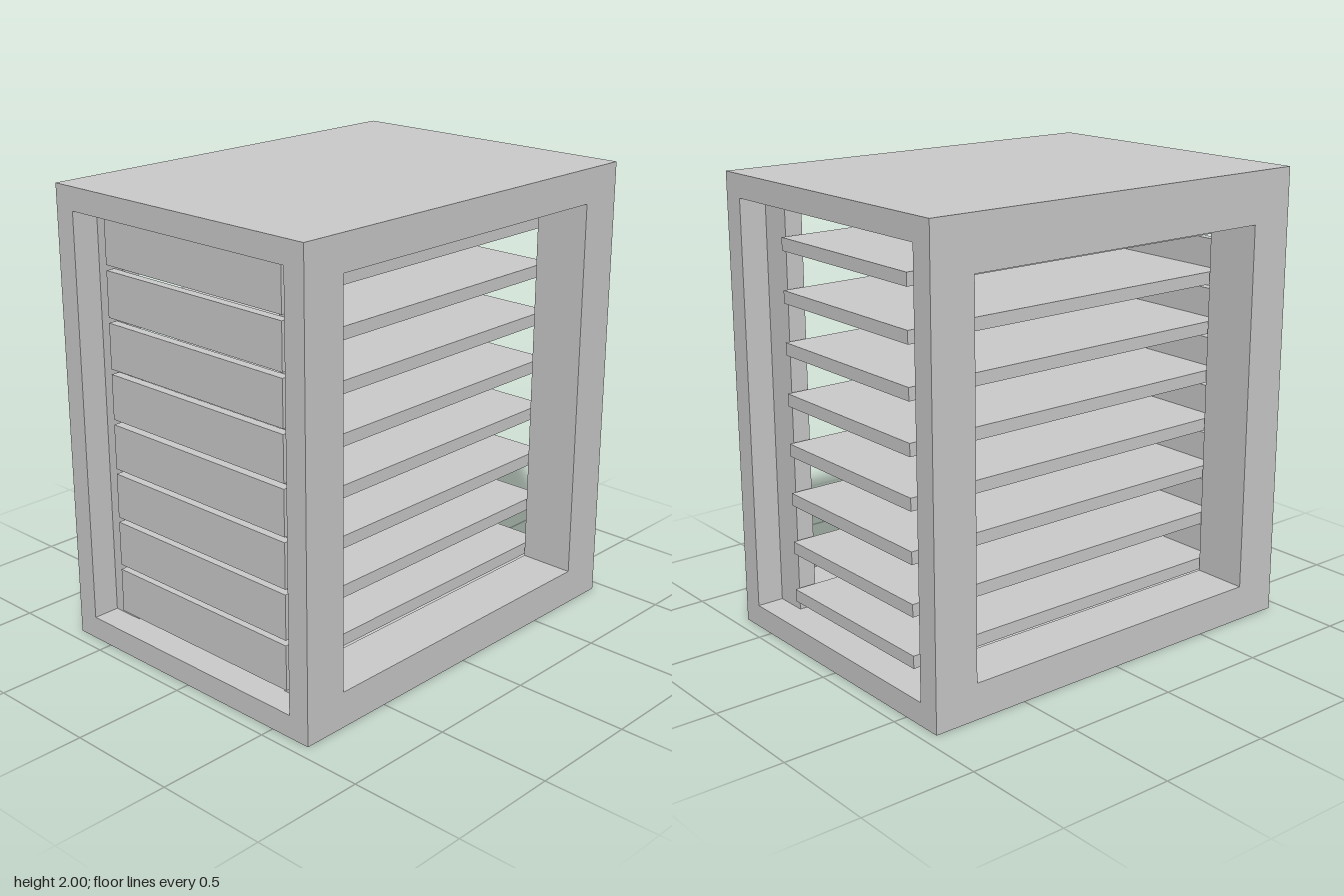
import * as THREE from 'three';

const W = 1.39, H = 2, D = 1.88;   // cabinet size
const SLAB = 0.1;                  // top and bottom thickness
const COUNT = 8, PITCH = 0.2207;   // drawers

const material = new THREE.MeshStandardMaterial({ color: 0xcccccc, flatShading: true });

function add(parent, name, geometry, x = 0, y = 0, z = 0) {
  const mesh = new THREE.Mesh(geometry, material);
  mesh.name = name;
  mesh.position.set(x, y, z);
  parent.add(mesh);
  return mesh;
}

function rectangle(PathType, halfWidth, bottom, top) {
  return new PathType([
    new THREE.Vector2(-halfWidth, bottom),
    new THREE.Vector2(halfWidth, bottom),
    new THREE.Vector2(halfWidth, top),
    new THREE.Vector2(-halfWidth, top),
  ]);
}

// Upright side panel with a window, spanning x0 to x1
function sidePanel(halfDepth, windowTop, x0, x1) {
  const shape = rectangle(THREE.Shape, halfDepth, SLAB, H - SLAB);
  shape.holes.push(rectangle(THREE.Path, 0.74, 0.157, windowTop));
  return new THREE.ExtrudeGeometry(shape, { depth: x1 - x0, bevelEnabled: false })
    .rotateY(Math.PI / 2)
    .translate(x0, 0, 0);
}

export function createModel() {
  const model = new THREE.Group();
  model.name = 'drawerCabinet';

  // Top and bottom slabs
  const slab = new THREE.BoxGeometry(W, SLAB, D);
  add(model, 'bottomSlab', slab, 0, SLAB / 2, 0);
  add(model, 'topSlab', slab, 0, H - SLAB / 2, 0);

  // Side walls: full-depth outer layer plus a recessed inner layer;
  // the window on the -x side is lower at the top
  const outer = W / 2, middle = 0.595, inner = 0.447;
  add(model, 'leftOuterWall', sidePanel(D / 2, 1.85, middle, outer));
  add(model, 'leftInnerWall', sidePanel(0.82, 1.85, inner, middle));
  add(model, 'rightOuterWall', sidePanel(D / 2, 1.775, -outer, -middle));
  add(model, 'rightInnerWall', sidePanel(0.82, 1.775, -middle, -inner));

  // Flat drawers: a thin board behind a taller front panel
  const front = new THREE.BoxGeometry(1, 0.198, 0.04);
  const board = new THREE.BoxGeometry(0.86, 0.055, 1.67);
  for (let i = 0; i < COUNT; i++) {
    const drawer = new THREE.Group();
    drawer.name = `drawer${i + 1}`;
    drawer.position.y = 0.236 + i * PITCH;
    add(drawer, 'drawerFront', front, 0, 0, 0.84);
    add(drawer, 'drawerBoard', board, 0, -0.056, -0.015);
    model.add(drawer);
  }

  return model;
}
